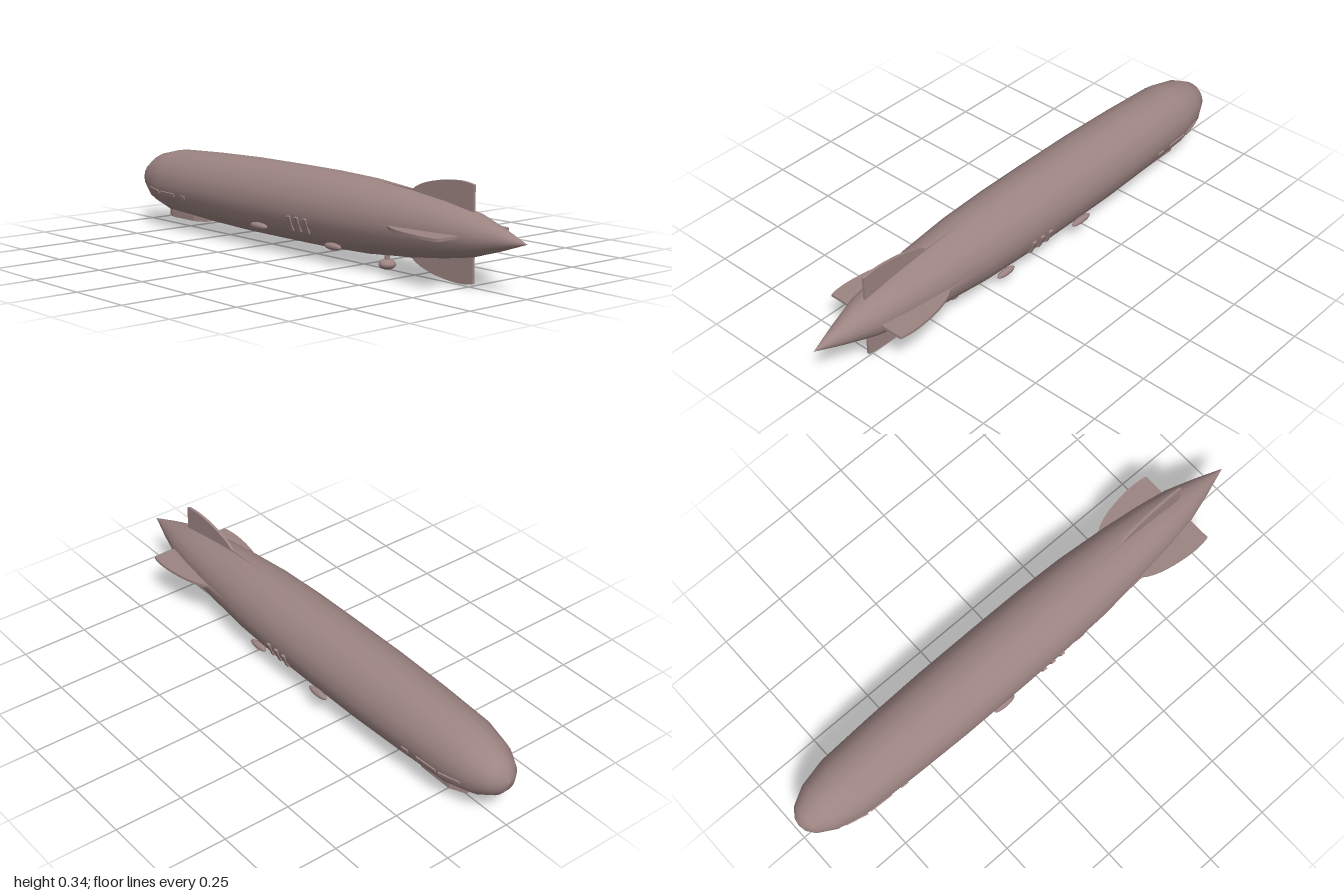
import * as THREE from 'three';

const AXIS = 0.175;
// hull profile: [radius, z], nose to tail
const PROFILE = [
  [0, -1], [0.03, -0.993], [0.06, -0.97], [0.096, -0.905], [0.12, -0.8], [0.13, -0.58], [0.136, -0.35],
  [0.1365, -0.1], [0.1355, 0.1], [0.129, 0.3], [0.112, 0.5], [0.094, 0.65], [0.073, 0.775], [0.038, 0.89], [0, 1],
];

function hullRadius(z) {
  let i = 1;
  while (i < PROFILE.length - 1 && PROFILE[i][1] < z) i++;
  const [r0, z0] = PROFILE[i - 1], [r1, z1] = PROFILE[i];
  return r0 + ((r1 - r0) * (z - z0)) / (z1 - z0);
}

export function createModel() {
  const root = new THREE.Group();
  const skin = new THREE.MeshStandardMaterial({ color: 0x9c8482 });
  const add = (name, geo, parent = root) => {
    const mesh = new THREE.Mesh(geo, skin);
    mesh.name = name;
    parent.add(mesh);
    return mesh;
  };

  // Hull, axis along z
  const hull = new THREE.LatheGeometry(PROFILE.map(([r, z]) => new THREE.Vector2(r, z)), 18, Math.PI / 18);
  hull.rotateX(Math.PI / 2);
  add('hull', hull).position.y = AXIS;

  // Four tail fins with a low strake ahead of each
  const fin = new THREE.Shape();
  fin.moveTo(0.77, 0.03);
  fin.lineTo(0.77, 0.161);
  fin.quadraticCurveTo(0.74, 0.168, 0.7, 0.168);
  fin.bezierCurveTo(0.62, 0.165, 0.53, 0.148, 0.49, 0.116);
  fin.lineTo(0.34, 0.124);
  fin.lineTo(0.4, 0.08);
  const finGeo = new THREE.ExtrudeGeometry(fin, { depth: 0.01, bevelEnabled: false, curveSegments: 8 });
  finGeo.translate(0, 0, -0.005).rotateY(-Math.PI / 2);
  ['upperFin', 'leftFin', 'lowerFin', 'rightFin'].forEach((name, i) => {
    const mesh = add(name, finGeo);
    mesh.position.y = AXIS;
    mesh.rotation.z = (-i * Math.PI) / 2;
  });

  // Window strips lying on the hull: z, drop angle, length along z, height
  const panels = [
    ['sideVent', 0.09, 0.37, 0.016, 0.056], ['sideVent', 0.047, 0.37, 0.016, 0.056], ['sideVent', 0.005, 0.37, 0.016, 0.056],
    ['deckWindow', -0.635, 0.28, 0.03, 0.012], ['deckWindow', -0.735, 0.28, 0.09, 0.012], ['deckWindow', -0.835, 0.28, 0.085, 0.012],
  ];
  // Engine pods: x, y, z, half length
  const pods = [[0.1, 0.068, 0.2, 0.042], [0.122, 0.092, -0.175, 0.047]];
  for (const s of [1, -1]) {
    for (const [name, z, angle, length, height] of panels) {
      const ring = new THREE.Group();
      ring.name = name;
      ring.position.set(0, AXIS, z);
      ring.rotation.z = s > 0 ? -angle : Math.PI + angle;
      root.add(ring);
      const strip = add(name + 'Strip', new THREE.BoxGeometry(0.008, height, length), ring);
      strip.position.x = hullRadius(z) - 0.001;
      strip.rotation.y = Math.atan2(hullRadius(z + 0.03) - hullRadius(z - 0.03), 0.06);
    }
    for (const [x, y, z, half] of pods) {
      const pod = add('enginePod', new THREE.SphereGeometry(1, 14, 10).rotateX(Math.PI / 2));
      pod.scale.set(0.013, 0.013, half);
      pod.position.set(s * x, y, z);
    }
  }

  // Rear engine car hanging on a strut
  const car = add('rearCar', new THREE.SphereGeometry(1, 16, 12));
  car.scale.set(0.03, 0.018, 0.031);
  car.position.set(-0.004, 0.02, 0.37);
  add('rearCarStrut', new THREE.CylinderGeometry(0.01, 0.01, 0.05, 10)).position.set(-0.004, 0.055, 0.37);

  // Control cabin: flat floor with narrowed ends
  const outline = [[0.03, -0.84], [0.057, -0.785], [0.057, -0.65], [0.035, -0.605]];
  const ring = [...outline, ...outline.map(([x, z]) => [-x, z]).reverse()];
  const cabin = new THREE.ExtrudeGeometry(
    new THREE.Shape(ring.map(([x, z]) => new THREE.Vector2(x, -z))), { depth: 0.06, bevelEnabled: false });
  cabin.rotateX(-Math.PI / 2);
  add('controlCabin', cabin).position.y = 0.04;

  // Cabin windows along every wall
  ring.forEach(([x0, z0], i) => {
    const [x1, z1] = ring[(i + 1) % ring.length];
    const length = Math.hypot(x1 - x0, z1 - z0);
    const count = Math.max(1, Math.round(length / 0.045));
    for (let k = 0; k < count; k++) {
      const t = (k + 0.5) / count;
      const pane = add('cabinWindow', new THREE.BoxGeometry((length / count) * 0.8, 0.011, 0.003));
      pane.position.set(x0 + (x1 - x0) * t, 0.055, z0 + (z1 - z0) * t);
      pane.rotation.y = -Math.atan2(z1 - z0, x1 - x0);
    }
  });

  return root;
}
